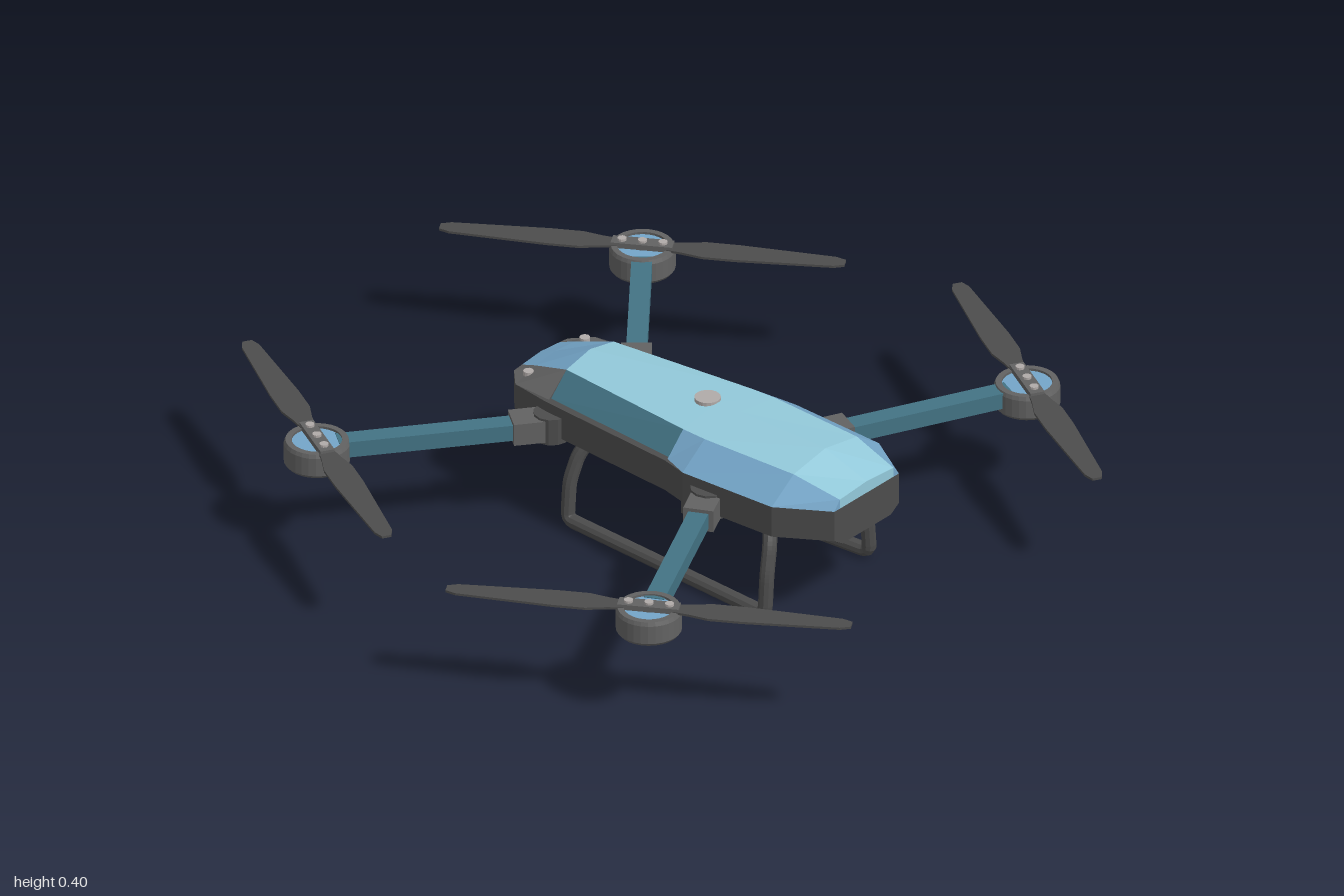
import * as THREE from 'three';

const mat = (color) => new THREE.MeshStandardMaterial({ color, flatShading: true, side: THREE.DoubleSide });
const M = {
  dark: mat(0x4c4c4c), grey: mat(0x626262), light: mat(0xb0aaa8),
  sky: mat(0x93c9da), blue: mat(0x74a5c8), teal: mat(0x437384),
};

function add(parent, name, geometry, material, x = 0, y = 0, z = 0) {
  const mesh = new THREE.Mesh(geometry, material);
  mesh.name = name;
  mesh.position.set(x, y, z);
  parent.add(mesh);
  return mesh;
}

// Skin rows of [x, y, z] points running from front to back
function loft(rows, closed = false) {
  const pos = [];
  const tri = (...p) => p.forEach((v) => pos.push(...v));
  const n = rows[0].length;
  for (let i = 0; i < rows.length - 1; i++) {
    for (let j = 0; j < (closed ? n : n - 1); j++) {
      const k = (j + 1) % n;
      tri(rows[i][j], rows[i + 1][k], rows[i][k]);
      tri(rows[i][j], rows[i + 1][j], rows[i + 1][k]);
    }
  }
  if (closed) {
    const first = rows[0], last = rows[rows.length - 1];
    for (let j = 1; j < n - 1; j++) {
      tri(first[0], first[j], first[j + 1]);
      tri(last[0], last[j + 1], last[j]);
    }
  }
  const g = new THREE.BufferGeometry();
  g.setAttribute('position', new THREE.Float32BufferAttribute(pos, 3));
  g.computeVertexNormals();
  return g;
}

function buildBody(root) {
  const body = new THREE.Group();
  body.name = 'body';
  root.add(body);

  // Lower hull: z, half width, half width of the flat bottom
  const hull = [
    [0.65, 0.12, 0.09], [0.52, 0.2, 0.13], [0.25, 0.212, 0.14], [0.18, 0.195, 0.13],
    [-0.22, 0.165, 0.11], [-0.33, 0.148, 0.1], [-0.375, 0.1, 0.07],
  ];
  add(body, 'hull', loft(hull.map(([z, w, b]) => [
    [w, 0.325, z], [-w, 0.325, z], [-w, 0.243, z], [-b, 0.224, z], [b, 0.224, z], [w, 0.243, z],
  ]), true), M.dark);

  // Upper shell: z, rim half width, shoulder half width, shoulder height, ridge height
  const shell = [
    [0.65, 0.12, 0.1, 0.325, 0.325], [0.65, 0.12, 0.1, 0.35, 0.357], [0.52, 0.2, 0.118, 0.38, 0.4],
    [0.25, 0.212, 0.13, 0.382, 0.4], [0.18, 0.185, 0.127, 0.382, 0.4], [-0.22, 0.153, 0.088, 0.38, 0.398],
    [-0.33, 0.148, 0.075, 0.345, 0.352], [-0.375, 0.1, 0.07, 0.328, 0.334], [-0.375, 0.1, 0.07, 0.325, 0.325],
  ];
  const strip = (from, to) => loft(shell.slice(from, to).map(([z, , s, ys, yt]) => [[s, ys, z], [0, yt, z], [-s, ys, z]]));
  add(body, 'canopy', strip(0, 6), M.sky);
  add(body, 'rearCanopy', strip(5, 9), M.blue);
  for (const side of [1, -1]) {
    const flank = (from, to, inset = 0) => loft(shell.slice(from, to).map(([z, w, s, ys]) => {
      const row = [[side * (w - inset), 0.325, z], [side * s, ys, z]];
      return side > 0 ? row : row.reverse();
    }));
    add(body, 'frontCheek', flank(0, 5), M.blue);
    add(body, 'sidePanel', flank(4, 6, 0.008), M.teal);
    add(body, 'rearShoulder', flank(5, 9), M.grey);
    add(body, 'rivet', new THREE.CylinderGeometry(0.013, 0.013, 0.012, 12), M.light, side * 0.105, 0.34, -0.325);
  }
  add(body, 'topButton', new THREE.CylinderGeometry(0.032, 0.032, 0.01, 20), M.light, 0, 0.4, 0.15);
}

// Two-blade propeller lying along local x
function buildPropeller() {
  const prop = new THREE.Group();
  prop.name = 'propeller';
  const half = [[0.06, 0.018], [0.1, 0.024], [0.15, 0.036], [0.23, 0.036], [0.47, 0.022], [0.495, 0.012]];
  const outline = [...half, ...half.map(([r, w]) => [r, -w]).reverse()];
  const shape = new THREE.Shape(outline.map(([r, w]) => new THREE.Vector2(r, w)));
  const bladeGeo = new THREE.ExtrudeGeometry(shape, { depth: 0.006, bevelEnabled: false });
  bladeGeo.rotateX(-Math.PI / 2);
  for (const turn of [0, Math.PI]) {
    add(prop, 'blade', bladeGeo, M.dark, 0, -0.003, 0).rotation.y = turn;
  }
  add(prop, 'hubBar', new THREE.BoxGeometry(0.15, 0.014, 0.036), M.grey, 0, 0.003, 0);
  for (const x of [-0.05, 0, 0.05]) {
    add(prop, 'screw', new THREE.CylinderGeometry(0.011, 0.011, 0.008, 12), M.light, x, 0.012, 0);
  }
  return prop;
}

// Arm, motor and propeller from a root point to a motor point
function buildArm(root, name, x0, z0, x1, z1, propX, propZ) {
  const arm = new THREE.Group();
  arm.name = name;
  root.add(arm);
  const dx = x1 - x0, dz = z1 - z0, length = Math.hypot(dx, dz), yaw = -Math.atan2(dz, dx);
  const along = (t) => [x0 + (dx * t) / length, z0 + (dz * t) / length];

  const beamLength = length - 0.05;
  const [bx, bz] = along(beamLength / 2);
  add(arm, 'beam', new THREE.BoxGeometry(beamLength, 0.042, 0.05), M.teal, bx, 0.263, bz).rotation.y = yaw;
  add(arm, 'bracket', new THREE.BoxGeometry(0.1, 0.058, 0.075), M.grey, x0, 0.264, z0).rotation.y = yaw;
  const [hx, hz] = along(-0.05);
  add(arm, 'hinge', new THREE.CylinderGeometry(0.045, 0.045, 0.07, 12), M.dark, hx, 0.264, hz);

  // Motor pod with inset coloured discs above and below
  const profile = [[0.06, 0.228], [0.06, 0.222], [0.074, 0.222], [0.08, 0.23], [0.08, 0.278], [0.076, 0.288], [0.061, 0.288], [0.061, 0.28]];
  add(arm, 'motorRing', new THREE.LatheGeometry(profile.map((p) => new THREE.Vector2(...p)), 28), M.grey, x1, 0, z1);
  add(arm, 'motorCore', new THREE.CylinderGeometry(0.062, 0.062, 0.055, 28), M.blue, x1, 0.2545, z1);
  add(arm, 'shaft', new THREE.CylinderGeometry(0.018, 0.018, 0.02, 12), M.grey, x1, 0.283, z1);

  const prop = buildPropeller();
  prop.position.set(x1, 0.287, z1);
  prop.rotation.y = -Math.atan2(propZ, propX);
  arm.add(prop);
}

// One side of the landing gear: front leg, skid and rear leg in a single tube
function buildSkid(root, side) {
  const corners = [
    [0.13, 0.25, 0.455], [0.165, 0.19, 0.485], [0.187, 0.12, 0.494], [0.195, 0.018, 0.495],
    [0.155, 0.018, -0.16], [0.147, 0.12, -0.16], [0.125, 0.19, -0.15], [0.085, 0.25, -0.12],
  ].map(([x, y, z]) => new THREE.Vector3(side * x, y, z));
  const path = new THREE.CurvePath();
  let from = corners[0];
  for (let i = 1; i < corners.length - 1; i++) {
    const c = corners[i];
    const enter = c.clone().add(corners[i - 1].clone().sub(c).setLength(0.022));
    const leave = c.clone().add(corners[i + 1].clone().sub(c).setLength(0.022));
    path.add(new THREE.LineCurve3(from, enter));
    path.add(new THREE.QuadraticBezierCurve3(enter, c, leave));
    from = leave;
  }
  path.add(new THREE.LineCurve3(from, corners[corners.length - 1]));
  add(root, side > 0 ? 'leftLandingSkid' : 'rightLandingSkid', new THREE.TubeGeometry(path, 120, 0.018, 10), M.dark);
}

function buildCamera(root) {
  const cam = new THREE.Group();
  cam.name = 'gimbalCamera';
  root.add(cam);
  add(cam, 'mount', new THREE.CylinderGeometry(0.03, 0.02, 0.025, 14), M.dark, 0, 0.218, 0.155);
  add(cam, 'ball', new THREE.SphereGeometry(0.021, 14, 10), M.grey, 0, 0.192, 0.155);
  add(cam, 'neck', new THREE.CylinderGeometry(0.011, 0.011, 0.05, 12), M.grey, 0, 0.175, 0.155);
  add(cam, 'housing', new THREE.BoxGeometry(0.13, 0.063, 0.062), M.dark, 0, 0.131, 0.152);
  add(cam, 'rearRoller', new THREE.CylinderGeometry(0.023, 0.023, 0.08, 16), M.dark, 0, 0.129, 0.123).rotation.z = Math.PI / 2;
}

export function createModel() {
  const root = new THREE.Group();
  root.name = 'quadcopter';
  buildBody(root);
  for (const side of [1, -1]) {
    const label = side > 0 ? 'left' : 'right';
    buildArm(root, label + 'FrontArm', side * 0.235, 0.335, side * 0.705, 0.56, side * 0.5, -0.866);
    buildArm(root, label + 'RearArm', side * 0.195, -0.24, side * 0.607, -0.567, side * -0.5, -0.866);
    buildSkid(root, side);
  }
  buildCamera(root);
  return root;
}
